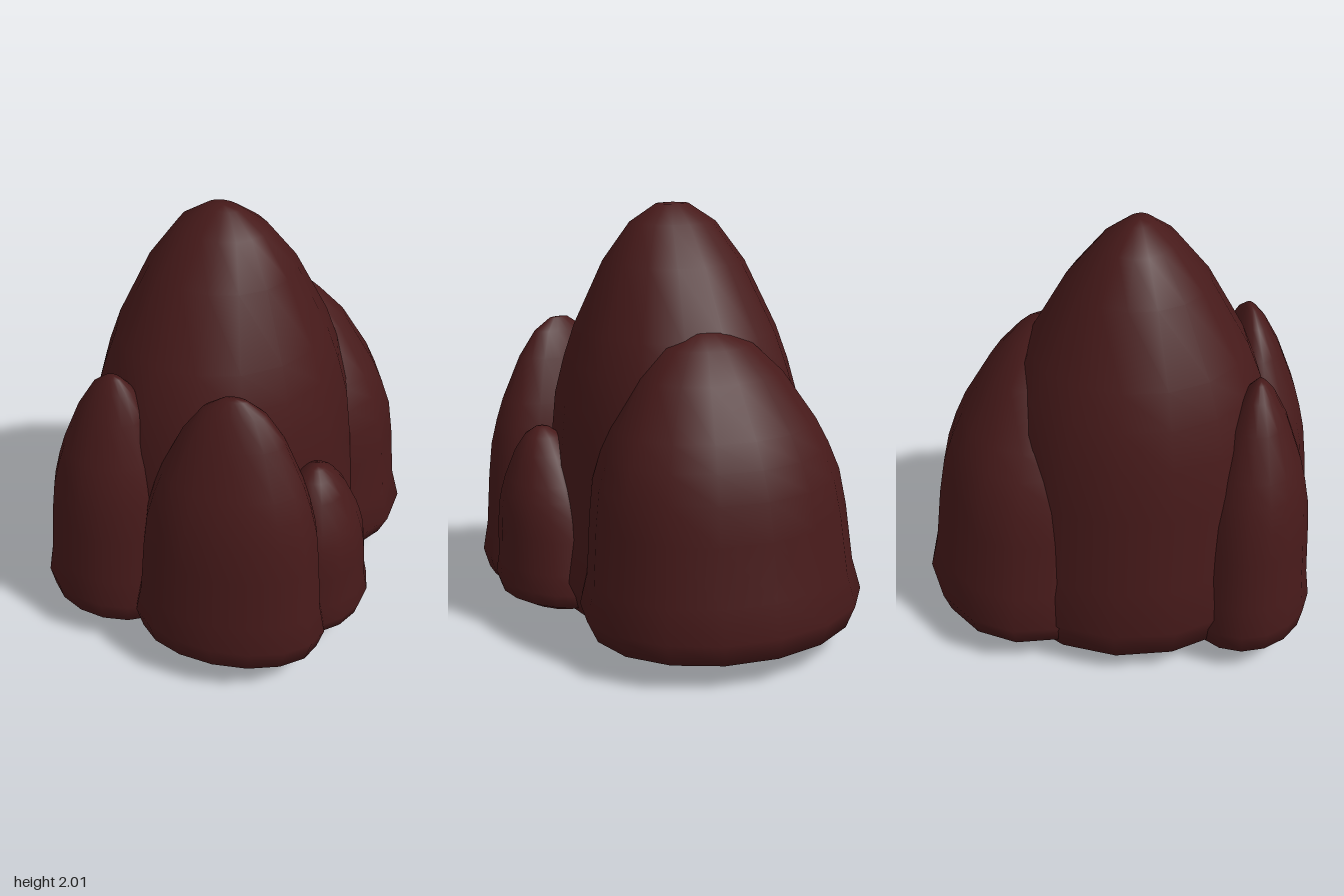
import * as THREE from 'three';
import { mergeVertices } from 'three/addons/utils/BufferGeometryUtils.js';

// Shared rounded-cone silhouette: [radius, height], both as fractions
const PROFILE = [
  [0, 0], [0.62, 0], [0.93, 0.05], [1, 0.125], [0.94, 0.23], [0.9, 0.42], [0.86, 0.54],
  [0.79, 0.63], [0.71, 0.71], [0.5, 0.865], [0.31, 0.955], [0.12, 0.997], [0, 1],
].map(([r, y]) => new THREE.Vector2(r, y));

// One boulder: an elliptical rounded cone whose peak may lean and whose foot may tilt
function boulder(material, { name, centre, radii, base, top, peak, turn = 0, tilt = [0, 0], pinch = 0.35 }) {
  const lathe = new THREE.LatheGeometry(PROFILE, 16);
  const p = lathe.attributes.position;
  // Oval section, narrowing to a ridge near the top
  for (let i = 0; i < p.count; i++) {
    const ridge = 1 - pinch * p.getY(i) ** 8;
    p.setXYZ(i, p.getX(i) * radii[0], p.getY(i), p.getZ(i) * radii[1] * ridge);
  }
  lathe.rotateY(turn);
  // Lean the peak and tilt the foot
  for (let i = 0; i < p.count; i++) {
    const x = p.getX(i), t = p.getY(i), z = p.getZ(i);
    const lean = t ** 1.5;
    p.setXYZ(i,
      centre[0] + x + (peak[0] - centre[0]) * lean,
      base + t * (top - base) + (tilt[0] * x + tilt[1] * z) * (1 - t),
      centre[1] + z + (peak[1] - centre[1]) * lean);
  }
  // Weld the seam so the surface shades smoothly all round
  lathe.deleteAttribute('uv');
  lathe.deleteAttribute('normal');
  const geometry = mergeVertices(lathe, 1e-4);
  geometry.computeVertexNormals();
  const mesh = new THREE.Mesh(geometry, material);
  mesh.name = name;
  return mesh;
}

export function createModel() {
  const group = new THREE.Group();
  group.name = 'rockCluster';
  const stone = new THREE.MeshStandardMaterial({ color: 0x471a1a });

  const boulders = [
    { name: 'mainBoulder', centre: [-0.11, 0.07], radii: [0.67, 0.72], base: 0.02, top: 2.0, peak: [-0.075, 0.085], tilt: [0.03, 0.05] },
    { name: 'backBoulder', centre: [-0.1, -0.4], radii: [0.68, 0.54], base: 0.05, top: 1.47, peak: [-0.04, -0.34], pinch: 0.15 },
    { name: 'frontRightBoulder', centre: [-0.35, 0.645], radii: [0.335, 0.29], base: 0.06, top: 1.36, peak: [-0.275, 0.645], tilt: [-0.03, 0.12] },
    { name: 'frontLeftBoulder', centre: [0.3, 0.62], radii: [0.45, 0.285], base: 0.08, top: 1.42, peak: [0.31, 0.57], turn: 0.3, tilt: [0.04, 0.1] },
    { name: 'sideBoulder', centre: [0.495, 0.205], radii: [0.265, 0.31], base: 0.11, top: 0.96, peak: [0.53, 0.25], turn: 0.35, tilt: [0.08, 0], pinch: 0.1 },
  ];
  for (const b of boulders) group.add(boulder(stone, b));
  return group;
}
